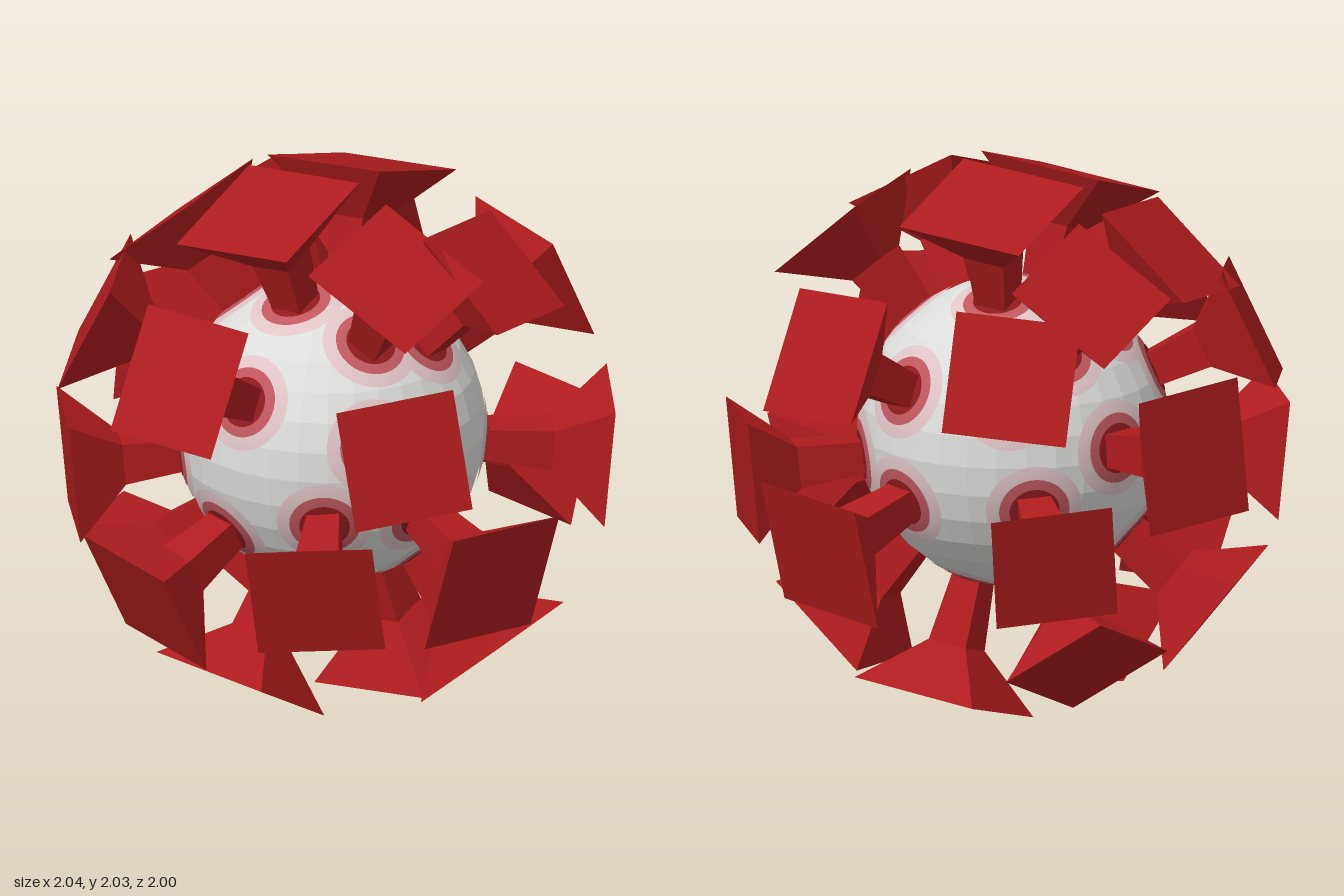
import * as THREE from 'three';

const CORE_CENTER = new THREE.Vector3(-0.03, 1.02, 0.01);
const SPIKE_CENTER = new THREE.Vector3(-0.01, 1.0, 0.005);
const RADIUS = 0.555;

// Outward directions of the spikes, from the spike centre
const DIRECTIONS = [
  // front
  [-0.09, 0.458, 0.862], [0.465, -0.28, 0.795], [-0.268, -0.456, 0.808],
  // top
  [-0.09, 0.903, 0.294], [-0.09, 0.905, -0.284], [0.466, 0.793, 0.297],
  [0.639, 0.742, -0.083], [-0.62, 0.746, 0.09], [-0.574, 0.69, -0.41],
  // bottom
  [-0.088, -0.852, 0.483], [0.106, -0.914, -0.277], [0.64, -0.755, -0.082], [-0.545, -0.7, -0.4],
  // left and right sides
  [0.735, 0.257, 0.615], [0.88, -0.285, 0.286], [0.75, -0.086, -0.615],
  [-0.74, -0.09, 0.645], [-0.78, 0.425, 0.42], [-0.906, 0.1, -0.284], [-0.747, -0.61, 0.22],
  // back
  [0.296, 0.435, -0.805], [-0.43, 0.435, -0.755], [0.275, -0.27, -0.86], [-0.59, -0.25, -0.725],
].map((d) => new THREE.Vector3(...d).normalize());

const UP = new THREE.Vector3(0, 1, 0);
const largest = (n) => Math.max(Math.abs(n.x), Math.abs(n.y), Math.abs(n.z));

// Square frustum along +y, from radius y0 to y1 with the given half widths
function frustum(y0, half0, y1, half1) {
  const g = new THREE.CylinderGeometry(half1 * Math.SQRT2, half0 * Math.SQRT2, y1 - y0, 4, 1);
  g.rotateY(Math.PI / 4);
  g.translate(0, (y0 + y1) / 2, 0);
  return g;
}

// Thin round patch on the core, around +y
function patch(size, lift) {
  return new THREE.SphereGeometry(RADIUS + lift, 32, 4, 0, Math.PI * 2, 0, size / RADIUS);
}

// Turn +y to the nearest main axis, then by the shortest way to the direction
function orient(n) {
  const axis = new THREE.Vector3();
  const k = [0, 1, 2].find((i) => Math.abs(n.getComponent(i)) === largest(n));
  axis.setComponent(k, Math.sign(n.getComponent(k)));
  const toAxis = new THREE.Quaternion().setFromUnitVectors(UP, axis);
  return new THREE.Quaternion().setFromUnitVectors(axis, n).multiply(toAxis);
}

// Direction from the core centre to where a spike leaves the core
function rootDirection(n) {
  const hit = new THREE.Ray(SPIKE_CENTER, n)
    .intersectSphere(new THREE.Sphere(CORE_CENTER, RADIUS), new THREE.Vector3());
  return hit.sub(CORE_CENTER).normalize();
}

export function createModel() {
  const material = (name, color, flatShading = false) => {
    const m = new THREE.MeshStandardMaterial({ color, flatShading });
    m.name = name;
    return m;
  };
  const shell = material('pale grey', 0xdcdcda, true);
  const red = material('red', 0xaf1c1f, true);
  const halo = material('pale pink', 0xdfc4c6);
  const ring = material('rose red', 0xc0586060 >>> 8);
  const spot = material('dark red', 0x8e1a1f);

  const model = new THREE.Group();
  model.name = 'spikedBall';

  const add = (parent, name, geometry, mat) => {
    const mesh = new THREE.Mesh(geometry, mat);
    mesh.name = name;
    parent.add(mesh);
    return mesh;
  };

  // Faceted core
  add(model, 'core', new THREE.SphereGeometry(RADIUS, 32, 16), shell)
    .position.copy(CORE_CENTER);

  // Coloured rings around each root
  const patches = [
    ['outerHalo', patch(0.175, 0.003), halo],
    ['innerRing', patch(0.127, 0.005), ring],
    ['baseSpot', patch(0.09, 0.007), spot],
  ];
  const stem = frustum(0.47, 0.053, 0.775, 0.076);

  DIRECTIONS.forEach((n, i) => {
    const root = new THREE.Group();
    root.name = `root${i + 1}`;
    root.position.copy(CORE_CENTER);
    root.quaternion.setFromUnitVectors(UP, rootDirection(n));
    patches.forEach(([name, geometry, mat]) => add(root, name, geometry, mat));

    // Heads close to a main axis are slightly wider
    const spike = new THREE.Group();
    spike.name = `spike${i + 1}`;
    spike.position.copy(SPIKE_CENTER);
    spike.quaternion.copy(orient(n));
    add(spike, 'stem', stem, red);
    add(spike, 'flaredHead', frustum(0.775, 0.076, 0.968, 0.13 + 0.12 * largest(n)), red);

    model.add(root, spike);
  });

  return model;
}
